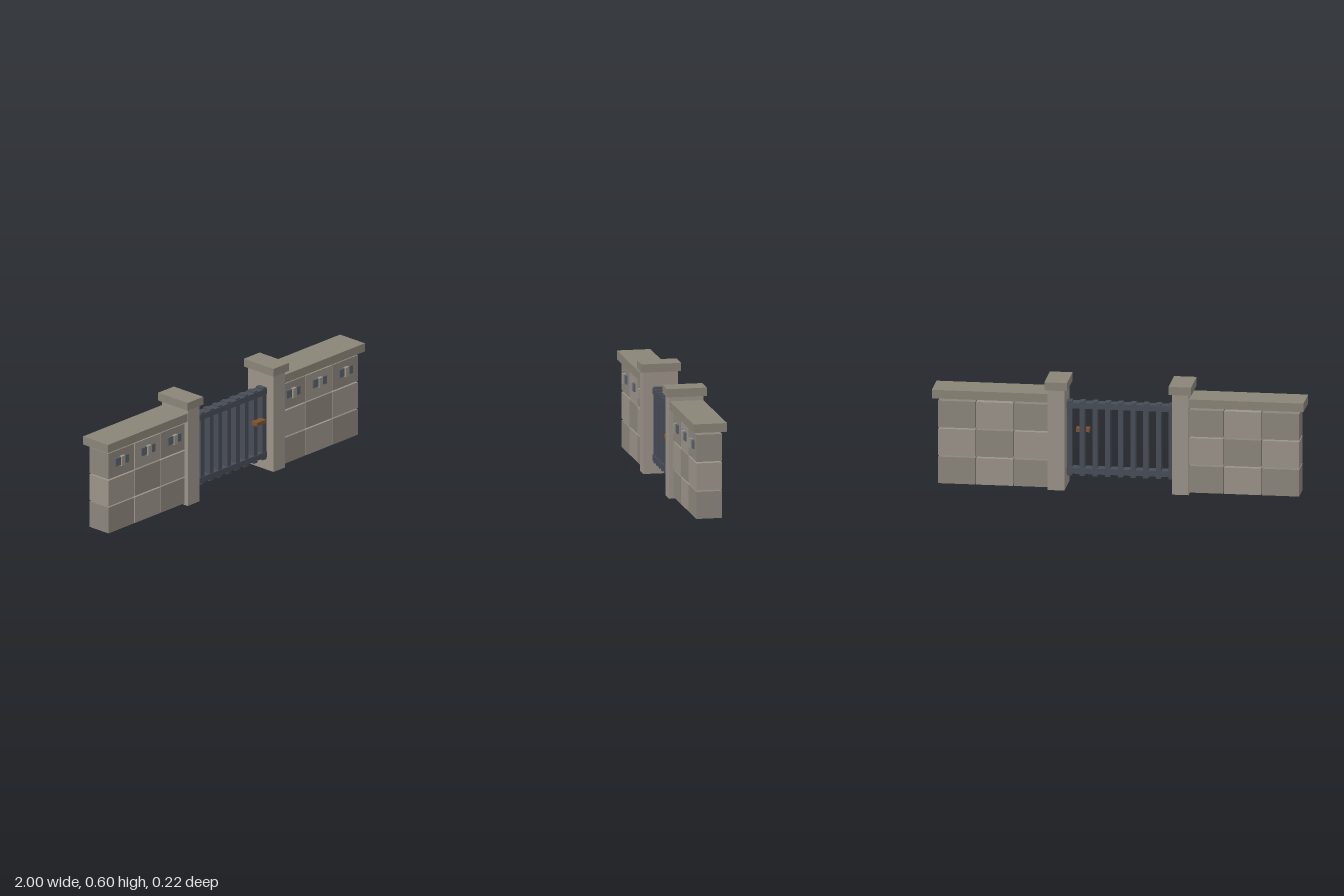
import * as THREE from 'three';

const mat = (color) => new THREE.MeshStandardMaterial({ color });
const stone = mat(0x9a9389), stoneDark = mat(0x8b857b), trim = mat(0x8a8478);
const iron = mat(0x474d57), slate = mat(0x59616b), wood = mat(0x7a5230);

// Box given by its limits on each axis
function box(parent, name, material, [x0, x1], [y0, y1], [z0, z1]) {
  const mesh = new THREE.Mesh(new THREE.BoxGeometry(x1 - x0, y1 - y0, z1 - z0), material);
  mesh.position.set((x0 + x1) / 2, (y0 + y1) / 2, (z0 + z1) / 2);
  mesh.name = name;
  parent.add(mesh);
  return mesh;
}
const around = (c, size) => [c - size / 2, c + size / 2];

// Three courses of three separate blocks under a coping slab
function wall(name, centres, copingSpan) {
  const g = new THREE.Group();
  g.name = name;
  centres.forEach((x, i) => {
    for (let row = 0; row < 3; row++) {
      const y = 0.0085 + row * 0.155;
      box(g, 'wallBlock', (i + row) % 2 ? stone : stoneDark,
        around(x, 0.199), [y, y + 0.147], [-0.07, 0.07]);
    }
    // Front ornament: dark plate with a raised stone bar
    box(g, 'ornamentPlate', slate, around(x, 0.104), [0.38, 0.425], [0.065, 0.079]);
    box(g, 'ornamentBar', stone, around(x, 0.027), [0.375, 0.429], [0.07, 0.088]);
  });
  box(g, 'coping', trim, copingSpan, [0.483, 0.53], [-0.091, 0.091]);
  return g;
}

function pillar(name, x) {
  const g = new THREE.Group();
  g.name = name;
  box(g, 'pillarShaft', stone, around(x, 0.09), [0, 0.556], [-0.094, 0.094]);
  box(g, 'pillarCap', trim, around(x, 0.122), [0.555, 0.6], [-0.108, 0.108]);
  return g;
}

function gate() {
  const g = new THREE.Group();
  g.name = 'gate';
  for (let i = 0; i < 9; i++) {
    box(g, 'gateBar', iron, around(-0.003 + (i - 4) * 0.0686, 0.028), [0.06, 0.473], [-0.008, 0.041]);
  }
  for (const y of [0.088, 0.449]) {
    box(g, 'gateRail', iron, [-0.295, 0.29], around(y, 0.032), [-0.011, 0.044]);
  }
  box(g, 'gateHandle', wood, [0.17, 0.243], [0.29, 0.31], [0.04, 0.08]);
  return g;
}

export function createModel() {
  const model = new THREE.Group();
  model.name = 'walledGate';
  model.add(
    wall('rightWall', [-0.874, -0.669, -0.465], [-1, -0.34]),
    wall('leftWall', [0.46, 0.665, 0.869], [0.335, 1]),
    pillar('rightPillar', -0.337),
    pillar('leftPillar', 0.331),
    gate(),
  );
  return model;
}
